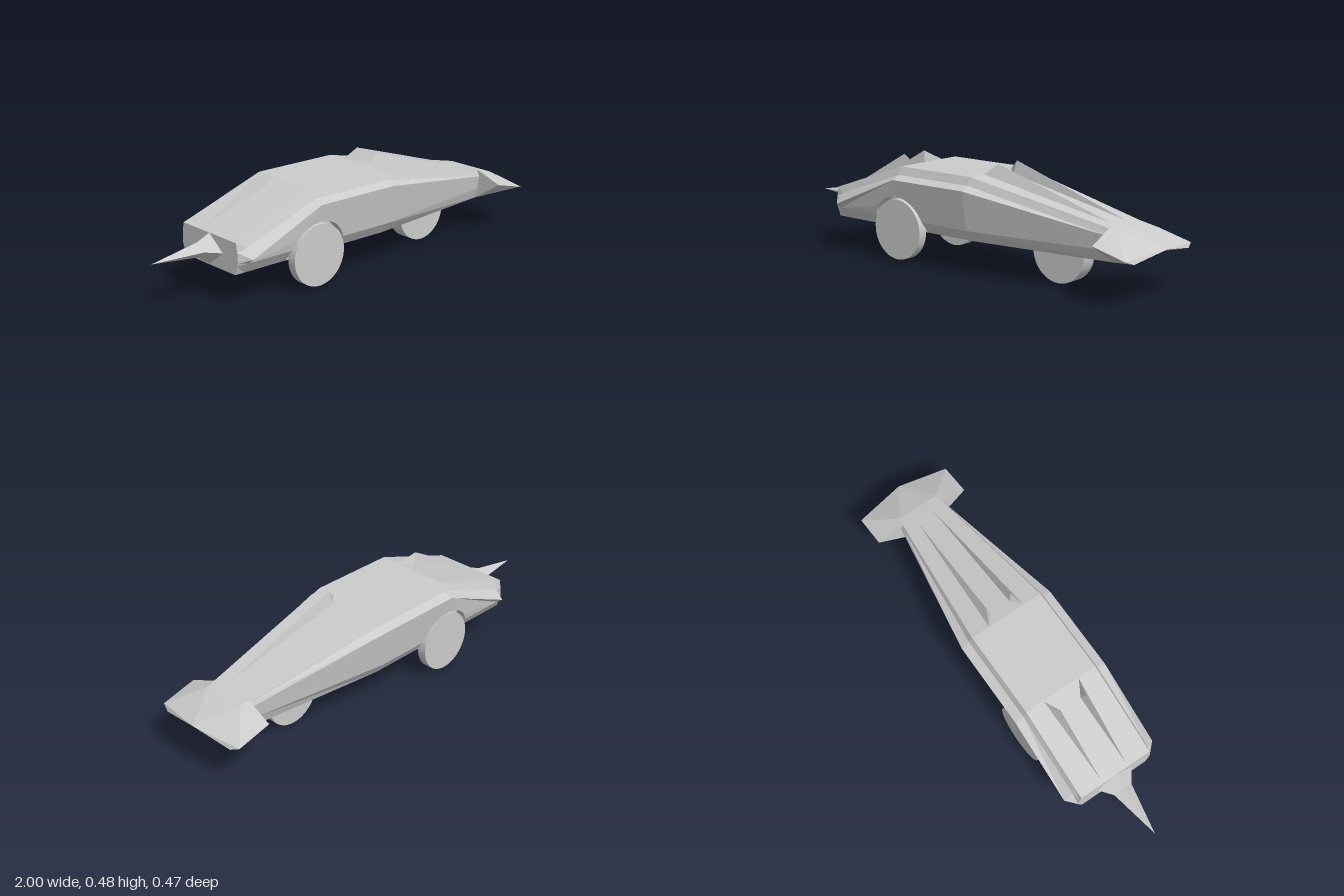
import * as THREE from 'three';
import { ConvexGeometry } from 'three/addons/geometries/ConvexGeometry.js';

const flat = new THREE.MeshStandardMaterial({ color: 0xcccccc, flatShading: true, side: THREE.DoubleSide });
const smooth = new THREE.MeshStandardMaterial({ color: 0xcccccc });

// Geometry from faces of three or four corners, anticlockwise from outside
function faceted(faces) {
  const pos = faces.flatMap(([a, b, c, d]) => (d ? [a, b, c, a, c, d] : [a, b, c]).flat());
  const g = new THREE.BufferGeometry();
  g.setAttribute('position', new THREE.Float32BufferAttribute(pos, 3));
  g.computeVertexNormals();
  return g;
}

// Faces joining successive rings; skip(i, j) leaves a face out
function loft(rings, skip = () => false) {
  const faces = [];
  for (let i = 0; i < rings.length - 1; i++) {
    const n = rings[i].length;
    for (let j = 0; j < n; j++) {
      const k = (j + 1) % n;
      if (!skip(i, j)) faces.push([rings[i][j], rings[i][k], rings[i + 1][k], rings[i + 1][j]]);
    }
  }
  return faces;
}

// Sets the z of every vertex by a rule
function setZ(geometry, rule) {
  const p = geometry.attributes.position;
  for (let i = 0; i < p.count; i++) p.setZ(i, rule(p.getX(i), p.getY(i), p.getZ(i)));
  geometry.computeVertexNormals();
  return geometry;
}

const hull = (points) => new ConvexGeometry(points.map((p) => new THREE.Vector3(...p)));

export function createModel() {
  const model = new THREE.Group();
  const add = (name, geometry, material = flat, parent = model) => {
    const mesh = new THREE.Mesh(geometry, material);
    mesh.name = name;
    parent.add(mesh);
    return mesh;
  };

  // Body: half sections [y, z] for roof edge, shoulder, belt line, sill, floor edge
  const stations = [
    [-0.71, [[0.29, 0.18], [0.25, 0.187], [0.205, 0.19], [0.19, 0.185], [0.15, 0.17]]],
    [-0.665, [[0.305, 0.18], [0.265, 0.195], [0.222, 0.235], [0.2, 0.205], [0.15, 0.17]]],
    [-0.3, [[0.432, 0.18], [0.395, 0.195], [0.377, 0.235], [0.2, 0.205], [0.15, 0.17]]],
    [0.11, [[0.432, 0.18], [0.395, 0.195], [0.377, 0.235], [0.2, 0.205], [0.15, 0.17]]],
    [0.79, [[0.293, 0.107], [0.278, 0.112], [0.263, 0.118], [0.2, 0.108], [0.15, 0.09]]],
  ];
  const rings = stations.map(([x, half]) => [
    ...half.map(([y, z]) => [x, y, z]),
    ...half.map(([y, z]) => [x, y, -z]).reverse(),
  ]);
  const sideFace = (i, j) => (i === 1 || i === 2) && [2, 3, 5, 6].includes(j);
  const bodyFaces = loft(rings, sideFace);
  const back = rings[0];
  for (let k = 0; k < 4; k++) bodyFaces.push([back[k], back[9 - k], back[8 - k], back[k + 1]]);
  add('body', faceted(bodyFaces));

  // Side panels with round wheel arches, leaning in from belt line to sill to floor
  const wheelX = -0.295, archR = 0.15, sill = 0.2, floor = 0.15;
  const archAngle = Math.asin((sill - floor) / archR);
  const archX = archR * Math.cos(archAngle);
  const beltY = (x) => Math.min(0.377, 0.222 + ((x + 0.665) * 0.155) / 0.365);
  const panelZ = (x, y) =>
    y < sill ? 0.17 + (y - floor) * 0.7 : 0.205 + (0.03 * (y - sill)) / (beltY(x) - sill);
  const panel = new THREE.Shape();
  panel.moveTo(-0.665, sill);
  panel.lineTo(wheelX - archX, sill);
  panel.absarc(wheelX, floor, archR, Math.PI - archAngle, archAngle, true);
  panel.lineTo(0.11, sill);
  panel.lineTo(0.11, 0.377);
  panel.lineTo(-0.3, 0.377);
  panel.lineTo(-0.665, 0.222);
  const panelGeometry = setZ(new THREE.ShapeGeometry(panel, 24), panelZ);
  const sillStrip = (x0, x1, x2, x3) =>
    [[x0, sill, 0.205], [x1, floor, 0.17], [x2, floor, 0.17], [x3, sill, 0.205]];
  const sills = faceted([
    sillStrip(-0.665, -0.665, wheelX - archR, wheelX - archX),
    sillStrip(wheelX + archX, wheelX + archR, 0.11, 0.11),
  ]);
  const well = new THREE.CylinderGeometry(archR, archR, 0.05, 32, 1, true, Math.PI / 2, Math.PI);
  well.rotateX(Math.PI / 2).translate(wheelX, floor, 0);
  setZ(well, (x, y, z) => (z < 0 ? 0.168 : panelZ(x, y)));
  const wellWall = new THREE.CircleGeometry(archR, 32, 0, Math.PI).translate(wheelX, floor, 0.168);

  // Half of the pointed nose, with an upturned winglet
  const tip = [1, 0.22, 0];
  const roofMid = [0.79, 0.293, 0], browMid = [0.83, 0.285, 0], chinMid = [0.79, 0.15, 0];
  const roofEdge = [0.79, 0.293, 0.107], brow = [0.83, 0.285, 0.1], chin = [0.79, 0.15, 0.09];
  const wingBack = [0.8, 0.243, 0.235], wingFront = [0.96, 0.203, 0.235], wingLow = [0.975, 0.188, 0.195];
  const nose = faceted([
    [roofMid, roofEdge, brow, browMid],
    [browMid, brow, tip],
    [roofEdge, wingBack, brow],
    [brow, wingBack, wingFront, tip],
    [wingFront, wingLow, tip],
    [tip, wingLow, chin],
    [tip, chin, chinMid],
    [wingBack, chin, wingLow, wingFront],
    [roofEdge, chin, wingBack],
  ]);

  for (const side of [1, -1]) {
    const group = new THREE.Group();
    group.name = side > 0 ? 'sideAtFront' : 'sideAtBack';
    group.scale.z = side;
    model.add(group);
    add('sidePanel', panelGeometry, flat, group);
    add('sill', sills, flat, group);
    add('wheelArch', well, flat, group);
    add('wheelWellWall', wellWall, flat, group);
    add('noseWing', nose, flat, group);

    // Sharp roof fins
    add('noseFin', hull([[0.11, 0.43, 0.092], [0.16, 0.415, 0.05], [0.17, 0.48, 0.063], [0.78, 0.293, 0.045]]), flat, group);
    add('tailFin', hull([[-0.3, 0.43, 0.092], [-0.37, 0.4, 0.05], [-0.39, 0.465, 0.066], [-0.7, 0.291, 0.066]]), flat, group);
  }

  // Tail spike, flaring into the rear face
  const diamond = (x, low, high, z) => {
    const mid = (low + high) / 2;
    return [[x, high, 0], [x, mid, z], [x, low, 0], [x, mid, -z]];
  };
  add('tailSpike', faceted(loft([
    diamond(-1, 0.22, 0.22, 0),
    diamond(-0.77, 0.195, 0.262, 0.045),
    diamond(-0.71, 0.155, 0.29, 0.09),
  ])));

  // Three wheels: one under the nose, two at the rear
  const wheel = (name, x, y, z, radius, width) =>
    add(name, new THREE.CylinderGeometry(radius, radius, width, 48).rotateX(Math.PI / 2), smooth).position.set(x, y, z);
  wheel('noseWheel', 0.483, 0.135, 0.004, 0.135, 0.073);
  wheel('rearWheel', wheelX, 0.149, 0.193, 0.137, 0.043);
  wheel('rearWheel', wheelX, 0.149, -0.19, 0.137, 0.043);

  return model;
}
